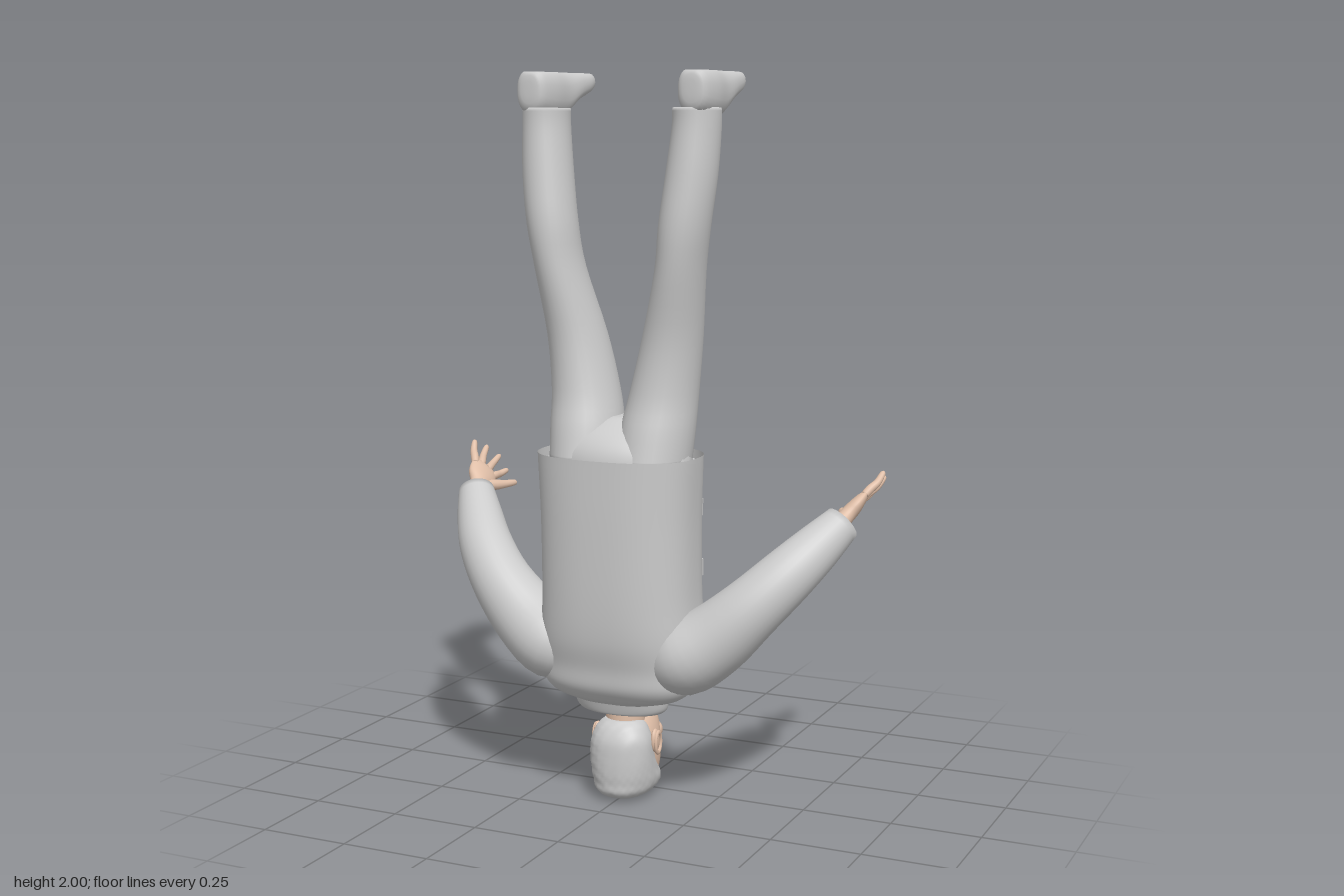
import * as THREE from 'three';

const V = (x, y, z) => new THREE.Vector3(x, y, z);
const UP = V(0, 1, 0);
const cloth = new THREE.MeshStandardMaterial({ color: 0xcccccc, side: THREE.DoubleSide });
const skin = new THREE.MeshStandardMaterial({ color: 0xe0bfa8, side: THREE.DoubleSide });

// Smooth a table of section rows with Catmull-Rom interpolation
function dense(rows, steps = 4) {
  const out = [], last = rows.length - 1;
  for (let i = 0; i < last; i++) {
    const [a, b, c, d] = [rows[Math.max(0, i - 1)], rows[i], rows[i + 1], rows[Math.min(last, i + 2)]];
    for (let s = 0; s < steps; s++) {
      const t = s / steps;
      out.push(b.map((p, k) => p + 0.5 * t * (c[k] - a[k] + t * (2 * a[k] - 5 * p + 4 * c[k] - d[k]
        + t * (3 * (p - c[k]) + d[k] - a[k])))));
    }
  }
  out.push(rows[last]);
  return out;
}

// Loft rows [x, y, z, radiusU, radiusV, frontGap]; without an axis the sections follow the path
function loft(rows, { axis, ref = V(1, 0, 0), n = 2, sides = 28, caps = true, steps = 4 } = {}) {
  const R = dense(rows, steps), pos = [], idx = [], open = R[0].length > 5;
  const cols = open ? sides + 1 : sides;
  const at = i => V(...R[Math.min(R.length - 1, Math.max(0, i))].slice(0, 3));
  const sp = v => Math.sign(v) * Math.abs(v) ** (2 / n);
  R.forEach((r, i) => {
    const d = axis || at(i + 1).sub(at(i - 1)).normalize();
    const u = ref.clone().addScaledVector(d, -ref.dot(d)).normalize();
    const v = u.clone().cross(d);
    const g = open ? Math.asin(Math.min(1, r[5] / r[3]) ** (n / 2)) : 0;
    for (let j = 0; j < cols; j++) {
      const t = -Math.PI / 2 + g + (2 * Math.PI - 2 * g) * j / sides;
      const p = at(i).addScaledVector(u, Math.max(0.001, r[3]) * sp(Math.cos(t)))
        .addScaledVector(v, Math.max(0.001, r[4]) * sp(Math.sin(t)));
      pos.push(p.x, p.y, p.z);
    }
  });
  for (let i = 0; i < R.length - 1; i++) for (let j = 0; j < sides; j++) {
    const k = (j + 1) % cols, a = i * cols + j, b = i * cols + k, c = a + cols, d = b + cols;
    idx.push(a, c, b, b, c, d);
  }
  if (caps && !open) [0, R.length - 1].forEach((i, e) => {
    const m = pos.length / 3, base = i * cols;
    pos.push(...R[i].slice(0, 3));
    for (let j = 0; j < cols; j++) {
      const a = base + j, b = base + (j + 1) % cols;
      e ? idx.push(m, b, a) : idx.push(m, a, b);
    }
  });
  const geo = new THREE.BufferGeometry();
  geo.setAttribute('position', new THREE.Float32BufferAttribute(pos, 3));
  geo.setIndex(idx);
  geo.computeVertexNormals();
  return geo;
}

// Move every vertex by a rule
function warp(geo, rule) {
  const p = geo.attributes.position, v = V(0, 0, 0);
  for (let i = 0; i < p.count; i++) {
    rule(v.fromBufferAttribute(p, i));
    p.setXYZ(i, v.x, v.y, v.z);
  }
  geo.computeVertexNormals();
  return geo;
}

function mirrored(geo) {
  const m = geo.clone().scale(-1, 1, 1), k = m.index.array;
  for (let i = 0; i < k.length; i += 3) [k[i], k[i + 1]] = [k[i + 1], k[i]];
  return m;
}

const ball = (x, y, z, rx, ry, rz) => new THREE.SphereGeometry(1, 20, 14).scale(rx, ry, rz).translate(x, y, z);

// Jacket sections, from the collar up to the hem
const JN = 2.5;
const jacket = [
  [0, 0.292, 0.125, 0.12, 0.07, 0.055], [0, 0.31, 0.125, 0.185, 0.09, 0.055],
  [0, 0.345, 0.115, 0.22, 0.122, 0.052], [0, 0.4, 0.1, 0.23, 0.146, 0.045],
  [0, 0.48, 0.1, 0.228, 0.165, 0.033], [0, 0.6, 0.105, 0.22, 0.17, 0.024],
  [0, 0.8, 0.11, 0.22, 0.17, 0.024], [0, 0.98, 0.115, 0.228, 0.166, 0.028]];
const jacketFine = dense(jacket, 8);

function jacketAt(y) {
  let i = jacketFine.findIndex(r => r[1] >= y);
  if (i < 0) i = jacketFine.length - 1;
  if (i === 0) return jacketFine[0];
  const a = jacketFine[i - 1], b = jacketFine[i], t = Math.min(1, (y - a[1]) / (b[1] - a[1]));
  return a.map((q, k) => q + (b[k] - q) * t);
}

// Slab lying on the jacket chest; inner and outer give its x range at each height
function patch(y0, y1, inner, outer, thick) {
  return warp(new THREE.BoxGeometry(1, 1, 1, 8, 16, 1), p => {
    const y = y0 + (p.y + 0.5) * (y1 - y0), r = jacketAt(y);
    const a = inner(y, r), x = a + (p.x + 0.5) * (outer(y, r) - a);
    const surf = r[2] - r[4] * Math.max(0, 1 - Math.abs(x / r[3]) ** JN) ** (1 / JN);
    p.set(x, y, surf + 0.003 - (0.5 - p.z) * thick);
  });
}

export function createModel() {
  const model = new THREE.Group();
  const add = (name, geo, mat = cloth) => {
    const m = new THREE.Mesh(geo, mat);
    m.name = name;
    model.add(m);
  };
  const pair = (name, geo, mat) => {
    add(name + 'Left', geo, mat);
    add(name + 'Right', mirrored(geo), mat);
  };

  // Trousers
  pair('trouserLeg', loft([
    [0.1, 0.96, 0.115, 0.1, 0.12], [0.106, 1.05, 0.1, 0.1, 0.115], [0.118, 1.15, 0.085, 0.092, 0.105],
    [0.143, 1.3, 0.087, 0.08, 0.095], [0.178, 1.48, 0.118, 0.066, 0.086], [0.195, 1.6, 0.13, 0.068, 0.081],
    [0.211, 1.73, 0.122, 0.068, 0.078], [0.22, 1.85, 0.112, 0.064, 0.075], [0.221, 1.905, 0.111, 0.063, 0.074]],
  { axis: UP }));
  add('hips', loft([[0, 0.86, 0.115, 0.2, 0.13], [0, 0.97, 0.115, 0.205, 0.13],
    [0, 1.03, 0.11, 0.17, 0.105], [0, 1.07, 0.1, 0.09, 0.06], [0, 1.08, 0.1, 0.03, 0.03]], { axis: UP }));

  // Shoes with flat soles
  pair('shoe', warp(loft([
    [0.235, 1.955, 0.186, 0.012, 0.02], [0.235, 1.95, 0.176, 0.04, 0.055], [0.234, 1.945, 0.12, 0.055, 0.068],
    [0.231, 1.945, 0.05, 0.055, 0.066], [0.228, 1.965, -0.01, 0.062, 0.047], [0.225, 1.974, -0.06, 0.062, 0.036],
    [0.223, 1.978, -0.1, 0.043, 0.026], [0.223, 1.98, -0.117, 0.01, 0.01]],
  { axis: V(0, 0, -1), n: 2.4 }), p => { p.y = Math.min(p.y, 2); }));

  // Jacket, open down the chest, with the shirt inside
  add('jacket', loft(jacket, { axis: UP, n: JN, sides: 56, steps: 6 }));
  add('shirt', loft(jacket.slice(2).map(r => [0, Math.min(r[1], 0.96), r[2], r[3] * 0.92, r[4] * 0.92]),
    { axis: UP, n: JN, sides: 40 }));
  add('collar', loft([
    [0, 0.258, 0.105, 0.105, 0.06, 0.06], [0, 0.257, 0.105, 0.12, 0.07, 0.06], [0, 0.27, 0.105, 0.134, 0.076, 0.058],
    [0, 0.3, 0.11, 0.14, 0.08, 0.055], [0, 0.325, 0.115, 0.143, 0.085, 0.055]], { axis: UP, sides: 40 }));
  pair('placket', patch(0.5, 0.978, (y, r) => r[5], (y, r) => r[5] + 0.028, 0.008));
  pair('lapel', patch(0.305, 0.6, (y, r) => r[5] - 0.004,
    (y, r) => r[5] + 0.012 + 0.055 * Math.min(1, (0.6 - y) / 0.2), 0.013));
  // Pockets with flaps
  [[0.81, 0.94], [0.64, 0.77], [0.46, 0.58]].forEach(([y0, y1]) => {
    pair('pocket', patch(y0, y1, () => 0.072, () => 0.185, 0.016));
    pair('pocketFlap', patch(y0 - 0.012, y0 + 0.035, () => 0.068, () => 0.189, 0.024));
  });

  // Sleeves
  pair('sleeve', loft([
    [0.1, 0.41, 0.125, 0.06, 0.06], [0.19, 0.43, 0.13, 0.112, 0.105], [0.285, 0.49, 0.12, 0.1, 0.1],
    [0.38, 0.58, 0.098, 0.086, 0.086], [0.46, 0.665, 0.045, 0.077, 0.077], [0.52, 0.735, -0.025, 0.066, 0.066],
    [0.568, 0.795, -0.09, 0.052, 0.052]], { ref: V(0, 0, 1) }));

  // Hands
  const across = V(0.62, 0.7, 0.35).normalize();
  pair('palm', loft([
    [0.555, 0.78, -0.07, 0.03, 0.025], [0.57, 0.808, -0.112, 0.03, 0.022], [0.58, 0.825, -0.14, 0.044, 0.021],
    [0.588, 0.842, -0.17, 0.045, 0.016], [0.592, 0.85, -0.186, 0.036, 0.009]], { ref: across }), skin);
  const tips = [[0.56, 0.83, -0.268], [0.597, 0.87, -0.287], [0.63, 0.9, -0.267], [0.643, 0.923, -0.215]];
  tips.forEach((tip, i) => {
    const k = V(0.59, 0.845, -0.172).addScaledVector(across, -0.034 + i * 0.0227);
    const row = (t, r, bend) => [...k.clone().lerp(V(...tip), t).add(V(bend, -bend, 0)).toArray(), r, r];
    pair('finger', loft([row(-0.1, 0.011, 0), row(0.2, 0.012, 0.001), row(0.55, 0.0105, 0.004),
      row(0.9, 0.008, 0.001), row(1, 0.002, 0)], { ref: across, sides: 12 }), skin);
  });
  pair('thumb', loft([[0.568, 0.808, -0.12, 0.014, 0.014], [0.546, 0.802, -0.16, 0.016, 0.015],
    [0.53, 0.8, -0.195, 0.012, 0.011], [0.518, 0.8, -0.23, 0.009, 0.008], [0.515, 0.8, -0.24, 0.002, 0.002]],
  { ref: across, sides: 12 }), skin);

  // Neck and head
  add('neck', loft([[0, 0.2, 0.085, 0.055, 0.055], [0, 0.29, 0.075, 0.056, 0.062], [0, 0.35, 0.055, 0.055, 0.078],
    [0, 0.41, 0.035, 0.03, 0.072]], { axis: UP }), skin);
  add('head', loft([
    [0, 0.02, 0.07, 0.04, 0.05], [0, 0.045, 0.067, 0.07, 0.09], [0, 0.09, 0.062, 0.082, 0.1],
    [0, 0.14, 0.058, 0.083, 0.098], [0, 0.185, 0.048, 0.077, 0.088], [0, 0.225, 0.033, 0.063, 0.073],
    [0, 0.255, 0.014, 0.045, 0.048], [0, 0.27, 0.01, 0.03, 0.033], [0, 0.276, 0.01, 0.006, 0.008]],
  { axis: UP, n: 2.2, sides: 36 }), skin);
  add('nose', loft([[0, 0.125, -0.033, 0.008, 0.008], [0, 0.155, -0.043, 0.01, 0.012],
    [0, 0.18, -0.048, 0.017, 0.017], [0, 0.192, -0.043, 0.014, 0.012], [0, 0.196, -0.04, 0.004, 0.005]],
  { axis: UP, sides: 16 }), skin);
  add('upperLip', ball(0, 0.212, -0.037, 0.026, 0.005, 0.009), skin);
  add('lowerLip', ball(0, 0.222, -0.035, 0.022, 0.006, 0.009), skin);
  add('chin', ball(0, 0.252, -0.022, 0.024, 0.018, 0.016), skin);
  pair('eye', ball(0.032, 0.134, -0.03, 0.014, 0.008, 0.009), skin);
  pair('eyebrow', ball(0.034, 0.115, -0.033, 0.02, 0.005, 0.008));
  pair('cheek', ball(0.046, 0.17, -0.012, 0.023, 0.025, 0.022), skin);
  pair('ear', ball(0.088, 0.172, 0.068, 0.011, 0.034, 0.02).rotateX(0.06), skin);
  pair('earRim', new THREE.TorusGeometry(0.019, 0.005, 8, 20).rotateY(Math.PI / 2)
    .scale(1, 1.5, 0.9).translate(0.096, 0.162, 0.075), skin);

  // Hair, slightly tousled
  add('hair', warp(loft([
    [0, 0.002, 0.07, 0.03, 0.045], [0, 0.012, 0.072, 0.06, 0.085], [0, 0.03, 0.072, 0.08, 0.106],
    [0, 0.055, 0.074, 0.089, 0.107], [0, 0.085, 0.09, 0.09, 0.094], [0, 0.13, 0.105, 0.089, 0.079],
    [0, 0.175, 0.107, 0.085, 0.073], [0, 0.21, 0.105, 0.07, 0.058], [0, 0.23, 0.1, 0.05, 0.042]],
  { axis: UP, n: 2.2, sides: 48, steps: 5 }), p => {
    const w = 1 + 0.016 * Math.sin(p.x * 170 + p.y * 90) * Math.sin(p.z * 150 - p.y * 120);
    p.x *= w;
    p.z = 0.07 + (p.z - 0.07) * w;
  }));
  return model;
}
